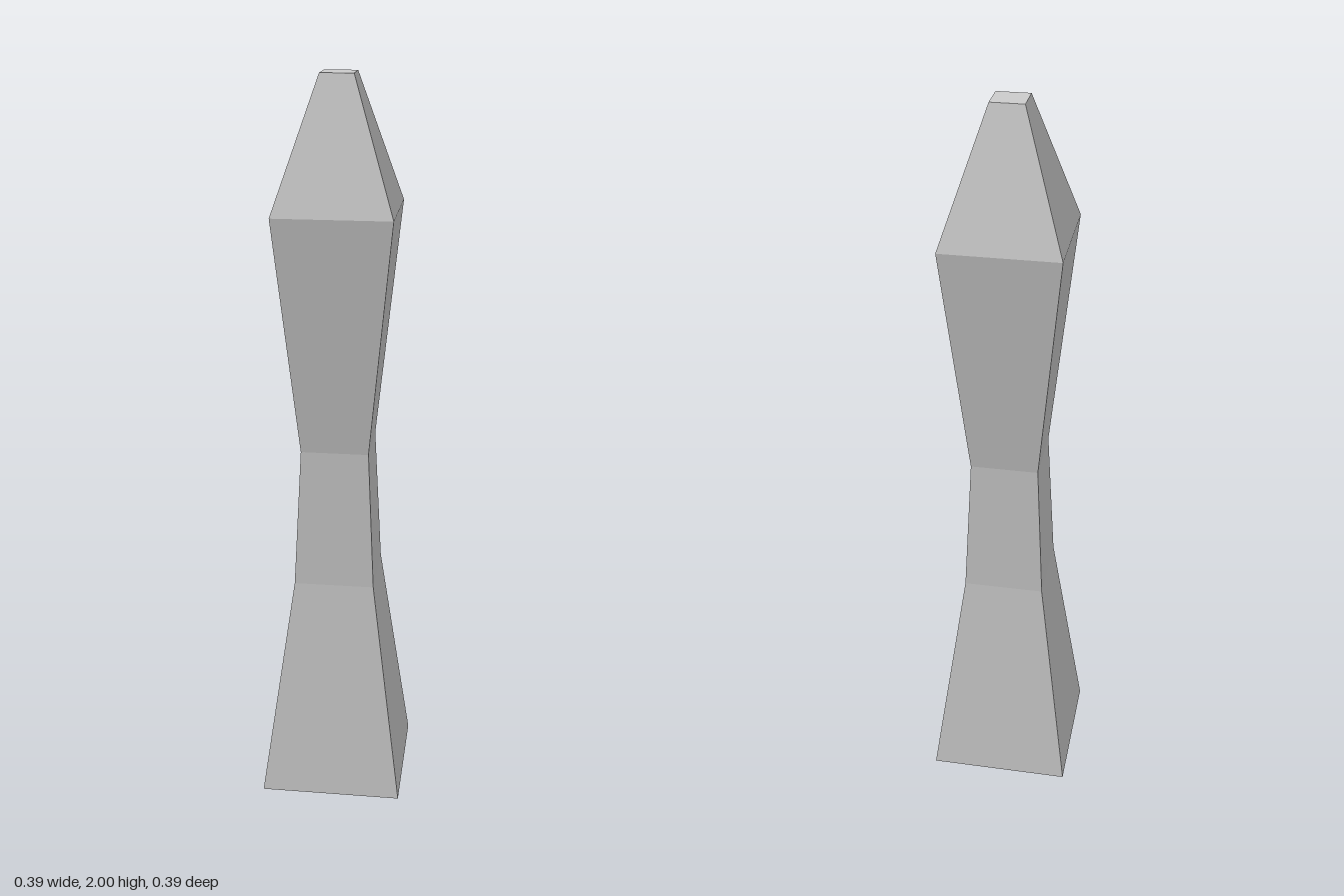
import * as THREE from 'three';

export function createModel() {
  const group = new THREE.Group();
  group.name = 'pillar';

  // Square column profile: [half width, height], closed at base and tip
  const profile = [
    [0, 0], [0.195, 0], [0.11, 0.625], [0.092, 1.01],
    [0.157, 1.655], [0.044, 2], [0, 2],
  ].map(([half, y]) => new THREE.Vector2(half * Math.SQRT2, y));

  // Four-sided lathe, turned so its flat sides face the axes
  const geometry = new THREE.LatheGeometry(profile, 4, Math.PI / 4).toNonIndexed();
  geometry.computeVertexNormals();

  const column = new THREE.Mesh(
    geometry,
    new THREE.MeshStandardMaterial({ color: 0xcccccc, flatShading: true })
  );
  column.name = 'taperedColumn';
  group.add(column);
  return group;
}
